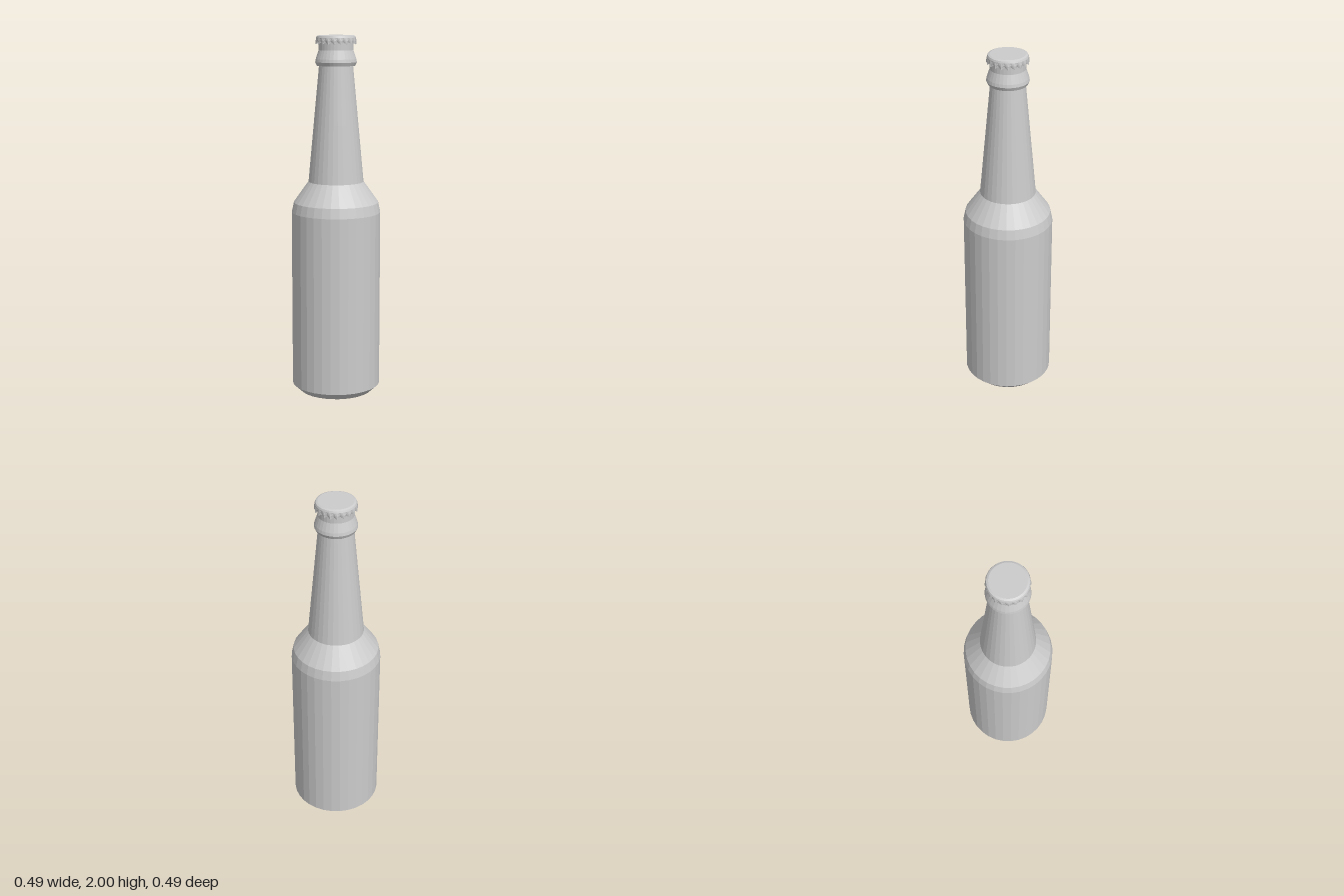
import * as THREE from 'three';

const SIDES = 32, TEETH = 20;

// Revolve a list of [radius, height] pairs, running from bottom to top
function revolve(name, points, sides, material) {
  const profile = points.map(([r, y]) => new THREE.Vector2(r, y));
  const mesh = new THREE.Mesh(new THREE.LatheGeometry(profile, sides), material);
  mesh.name = name;
  return mesh;
}

export function createModel() {
  const group = new THREE.Group();
  group.name = 'bottle';
  const glass = new THREE.MeshStandardMaterial({ color: 0xcccccc, flatShading: true });
  const metal = new THREE.MeshStandardMaterial({ color: 0xcccccc, flatShading: true, side: THREE.DoubleSide });

  // Body with chamfered foot and sloping shoulder
  group.add(revolve('body', [
    [0, 0.004], [0.205, 0.004], [0.247, 0.043], [0.247, 1.03], [0.235, 1.085], [0.153, 1.2],
  ], SIDES, glass));

  // Tapering neck
  group.add(revolve('neck', [[0.153, 1.2], [0.123, 1.52], [0.093, 1.84]], SIDES, glass));

  // Collar and lip under the cap
  group.add(revolve('collar', [
    [0.092, 1.836], [0.105, 1.836], [0.114, 1.855], [0.111, 1.872],
    [0.095, 1.92], [0.095, 1.985], [0, 1.985],
  ], SIDES, glass));

  // Crimped cap: the skirt flares and dips in a ring of teeth
  const cap = revolve('cap', [
    [0.103, 1.957], [0.107, 1.972], [0.108, 1.987], [0.104, 1.996], [0.094, 2], [0, 2],
  ], TEETH * 4, metal);
  const pos = cap.geometry.attributes.position;
  for (let i = 0; i < pos.count; i++) {
    const x = pos.getX(i), y = pos.getY(i), z = pos.getZ(i);
    const skirt = THREE.MathUtils.clamp((1.987 - y) / 0.03, 0, 1);
    const wave = Math.cos(TEETH * Math.atan2(x, z));
    const scale = 1 + skirt * (0.045 + 0.045 * wave);
    pos.setXYZ(i, x * scale, y - skirt * 0.006 * wave, z * scale);
  }
  cap.geometry.computeVertexNormals();
  group.add(cap);

  return group;
}
